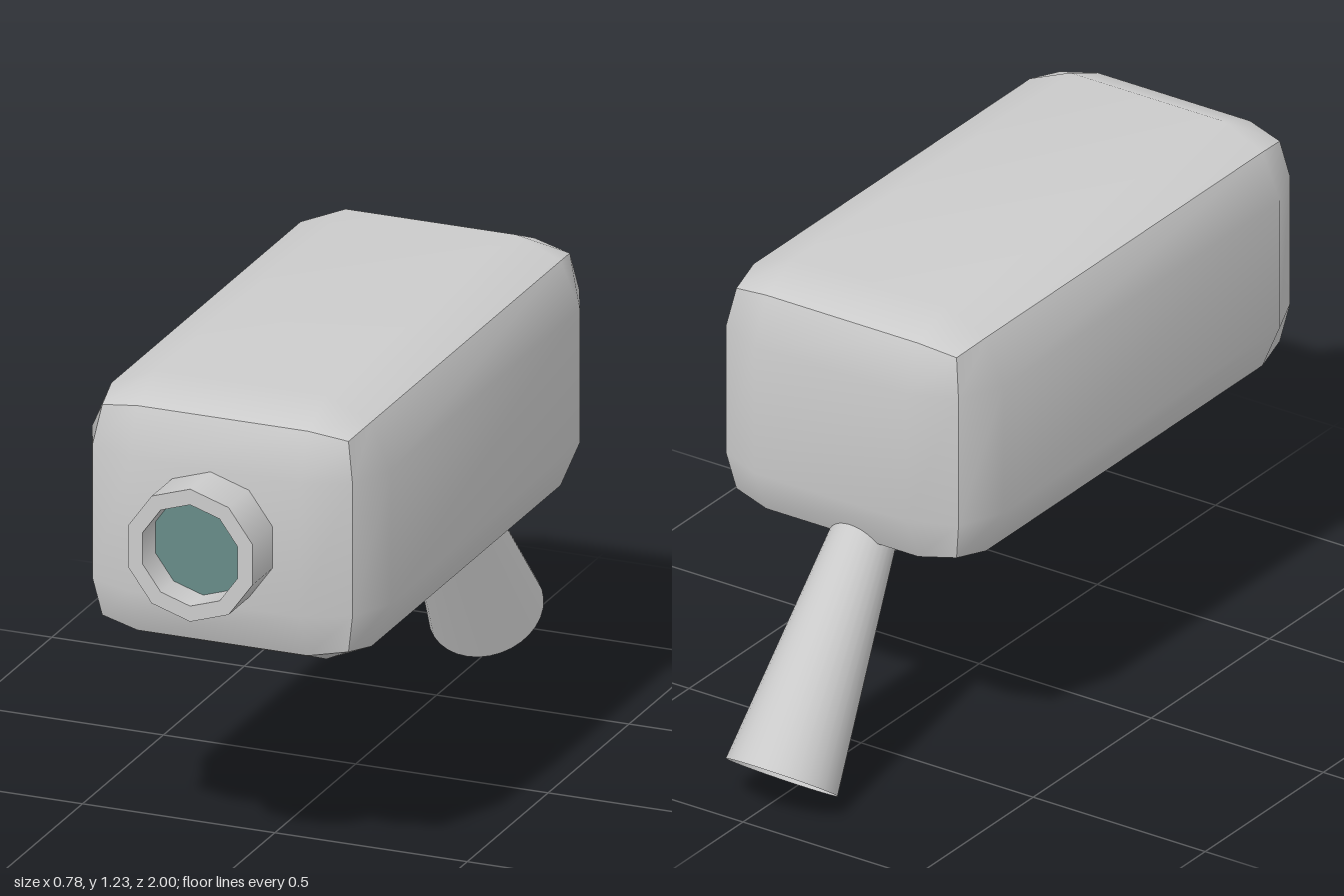
import * as THREE from 'three';

const grey = new THREE.MeshStandardMaterial({ color: 0xcccccc });
const greyDouble = new THREE.MeshStandardMaterial({ color: 0xcccccc, side: THREE.DoubleSide });
const glass = new THREE.MeshStandardMaterial({ color: 0x678b87 });

function addMesh(parent, name, geometry, material) {
  const mesh = new THREE.Mesh(geometry, material);
  mesh.name = name;
  parent.add(mesh);
  return mesh;
}

// Box of 3x3 panels per side: edges and corners are pulled in, each side shades smoothly.
function softBox(half) {
  const inset = 0.167, edgePull = 0.05, cornerPull = 0.068;
  const geometry = new THREE.BoxGeometry(2, 2, 2, 3, 3, 3);
  const pos = geometry.attributes.position;
  for (let i = 0; i < pos.count; i++) {
    const p = [pos.getX(i), pos.getY(i), pos.getZ(i)];
    const extremes = p.filter((v) => Math.abs(v) > 0.9).length;
    const pull = [0, 0, edgePull, cornerPull][extremes];
    const q = p.map((v, k) => Math.sign(v) * (half[k] - (Math.abs(v) > 0.9 ? pull : inset)));
    pos.setXYZ(i, ...q);
  }
  geometry.computeVertexNormals();
  return geometry;
}

export function createModel() {
  const model = new THREE.Group();
  model.name = 'camera';

  // Main housing
  addMesh(model, 'body', softBox([0.388, 0.338, 0.752]), grey).position.set(0, 0.893, 0.122);

  // Ten-sided lens barrel with a recessed glass
  const lens = new THREE.Group();
  lens.name = 'lens';
  lens.position.set(-0.01, 0.89, 0);
  model.add(lens);
  const sides = 10, outer = 0.17, inner = 0.13, front = 1, back = 0.85, glassZ = 0.92;
  const tube = (r, z0, z1) =>
    new THREE.CylinderGeometry(r, r, z1 - z0, sides, 1, true)
      .rotateX(Math.PI / 2).translate(0, 0, (z0 + z1) / 2);
  addMesh(lens, 'lensBarrel', tube(outer, back, front), grey);
  addMesh(lens, 'lensBarrelInside', tube(inner, glassZ, front), greyDouble);
  addMesh(lens, 'lensRim',
    new THREE.RingGeometry(inner, outer, sides, 1, Math.PI / 2).translate(0, 0, front), grey);
  addMesh(lens, 'lensGlass',
    new THREE.CircleGeometry(inner, sides, Math.PI / 2).translate(0, 0, glassZ), glass);

  // Flared mounting arm, open at its lower end
  const low = new THREE.Vector3(-0.033, 0.084, -0.884);
  const axis = new THREE.Vector3(0, 0.823, 0.567).normalize();
  const length = 0.75;
  const arm = addMesh(model, 'mountingArm',
    new THREE.CylinderGeometry(0.068, 0.142, length, 32, 1, true), greyDouble);
  arm.position.copy(low).addScaledVector(axis, length / 2);
  arm.quaternion.setFromUnitVectors(new THREE.Vector3(0, 1, 0), axis);

  return model;
}
